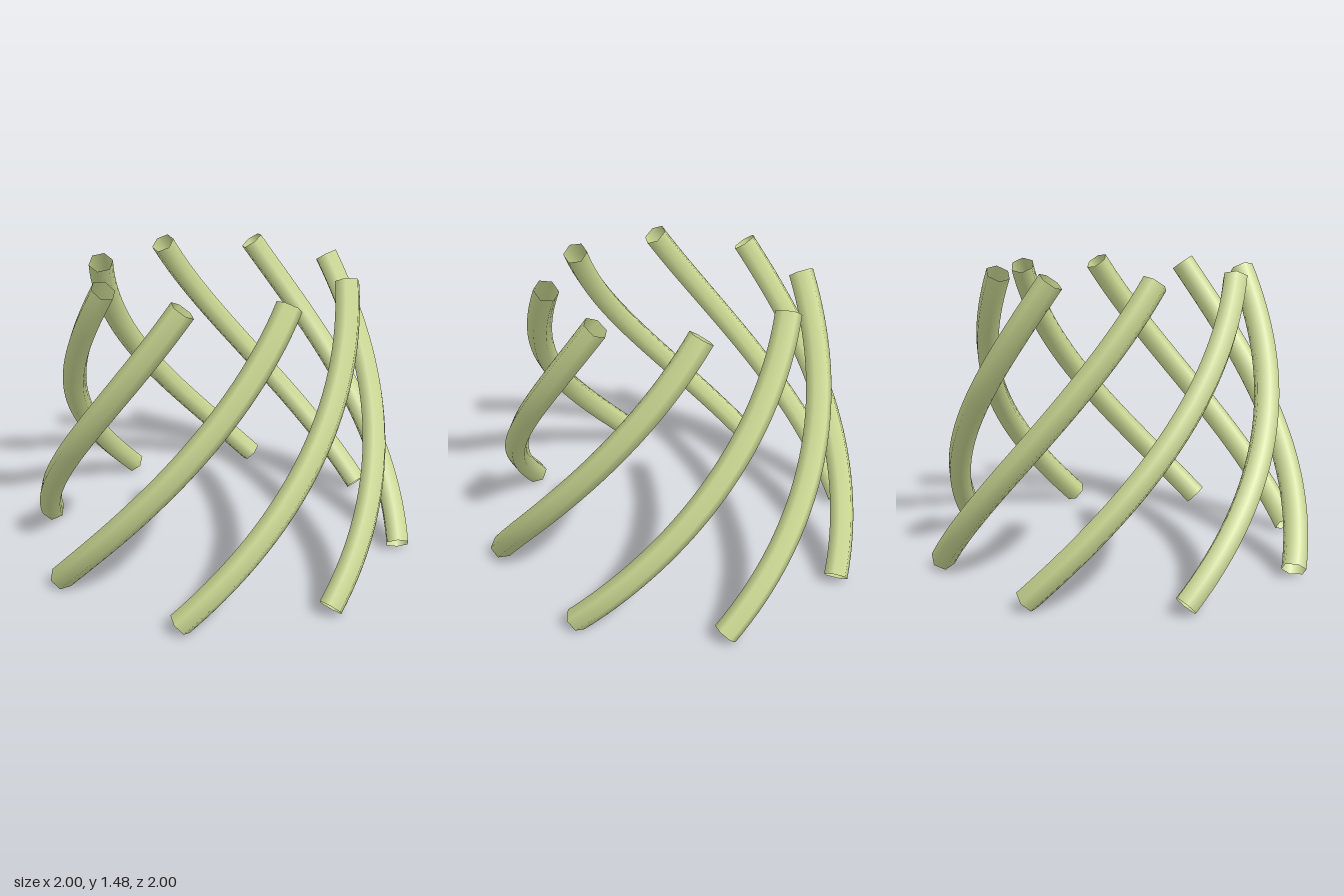
import * as THREE from 'three';

// Rising helix whose radius shrinks towards the top
class SpiralCurve extends THREE.Curve {
  constructor(startAngle) {
    super();
    this.startAngle = startAngle;
  }
  getPoint(t, target = new THREE.Vector3()) {
    const angle = this.startAngle - 1.5 * t;
    const radius = THREE.MathUtils.lerp(0.938, 0.62, t);
    const y = THREE.MathUtils.lerp(0.042, 1.447, t);
    return target.set(radius * Math.cos(angle), y, radius * Math.sin(angle));
  }
}

export function createModel() {
  const group = new THREE.Group();
  group.name = 'spiralTubeRing';

  // Open tubes, so the inside shows at both ends
  const paleGreen = new THREE.MeshStandardMaterial({ color: 0xcbd993, side: THREE.DoubleSide });
  paleGreen.name = 'paleGreen';

  // Eight six-sided tubes, evenly spaced around the ring
  const count = 8;
  for (let i = 0; i < count; i++) {
    const curve = new SpiralCurve((i / count) * Math.PI * 2);
    const tube = new THREE.Mesh(new THREE.TubeGeometry(curve, 32, 0.062, 6, false), paleGreen);
    tube.name = `spiralTube${i + 1}`;
    group.add(tube);
  }
  return group;
}
